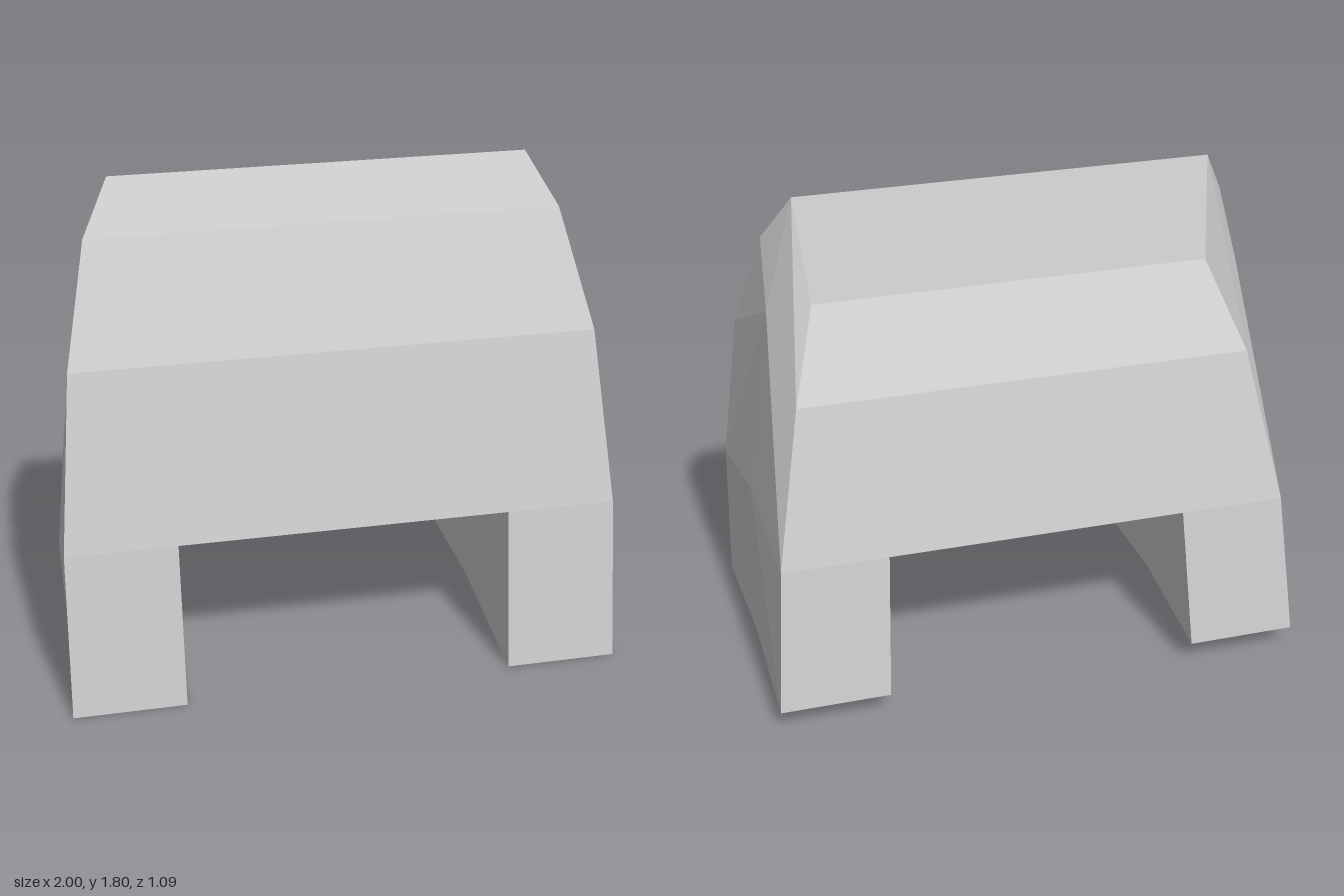
import * as THREE from 'three';

// Each face is given for the +x half and mirrored to -x.
function mirroredMesh(name, faces, material) {
  const pos = [];
  const tri = (a, b, c) => pos.push(...a, ...b, ...c);
  const flip = ([x, y, z]) => [-x, y, z];
  for (const face of faces) {
    for (let i = 1; i < face.length - 1; i++) {
      const [a, b, c] = [face[0], face[i], face[i + 1]];
      tri(a, b, c);
      tri(flip(a), flip(c), flip(b));
    }
  }
  const geo = new THREE.BufferGeometry();
  geo.setAttribute('position', new THREE.Float32BufferAttribute(pos, 3));
  geo.computeVertexNormals();
  const mesh = new THREE.Mesh(geo, material);
  mesh.name = name;
  return mesh;
}

export function createModel() {
  const grey = new THREE.MeshStandardMaterial({ color: 0xcccccc });
  grey.name = 'plain grey';

  // Outer corner lines from the ridge down: front, back and middle of the side
  const F = [[0.74, 1.8, 0], [0.84, 1.62, 0.11], [0.93, 1.22, 0.305], [0.99, 0.6, 0.455], [1, 0, 0.545]];
  const B = [F[0], [0.71, 1.45, -0.11], [0.81, 1.165, -0.305], [0.92, 0.62, -0.46], [0.965, 0.09, -0.545]];
  const M = [F[0], [0.855, 1.41, -0.035], [0.95, 0.68, 0.035], [0.975, 0.08, 0]];

  // Inner corners of the legs
  const at = (p, x) => [x, p[1], p[2]];
  const mid = (p) => at(p, 0);
  const f3 = at(F[3], 0.595), f4 = at(F[4], 0.595);
  const b3 = at(B[3], 0.54), b4 = at(B[4], 0.57);
  const m2 = at(M[2], 0.573), m3 = at(M[3], 0.585);

  // Front and back: three sloped bands, then the leg faces
  const front = [[f3, f4, F[4], F[3]]];
  const back = [[B[3], B[4], b4, b3]];
  for (let i = 0; i < 3; i++) {
    front.push([mid(F[i]), mid(F[i + 1]), F[i + 1], F[i]]);
    back.push([B[i], B[i + 1], mid(B[i + 1]), mid(B[i])]);
  }

  // Sides, with the small bevel beside the back fold
  const sides = [
    [F[0], F[1], M[1]],
    [F[1], F[2], M[1]],
    [M[1], F[2], F[3], M[2]],
    [M[2], F[3], F[4], M[3]],
    [M[1], M[2], B[3], B[2]],
    [M[2], M[3], B[4], B[3]],
    [F[0], M[1], B[2], B[1]],
  ];

  // Passage between the legs: arched ceiling and inner walls
  const passage = [
    [mid(F[3]), mid(M[2]), m2, f3],
    [mid(M[2]), mid(B[3]), b3, m2],
    [m2, m3, f4, f3],
    [m2, b3, b4, m3],
  ];

  // Undersides of the legs
  const soles = [
    [f4, m3, M[3], F[4]],
    [m3, b4, B[4], M[3]],
  ];

  const group = new THREE.Group();
  group.name = 'archBlock';
  const parts = { frontPanel: front, backPanel: back, sidePanels: sides, passage, legSoles: soles };
  for (const [name, faces] of Object.entries(parts)) group.add(mirroredMesh(name, faces, grey));
  return group;
}
